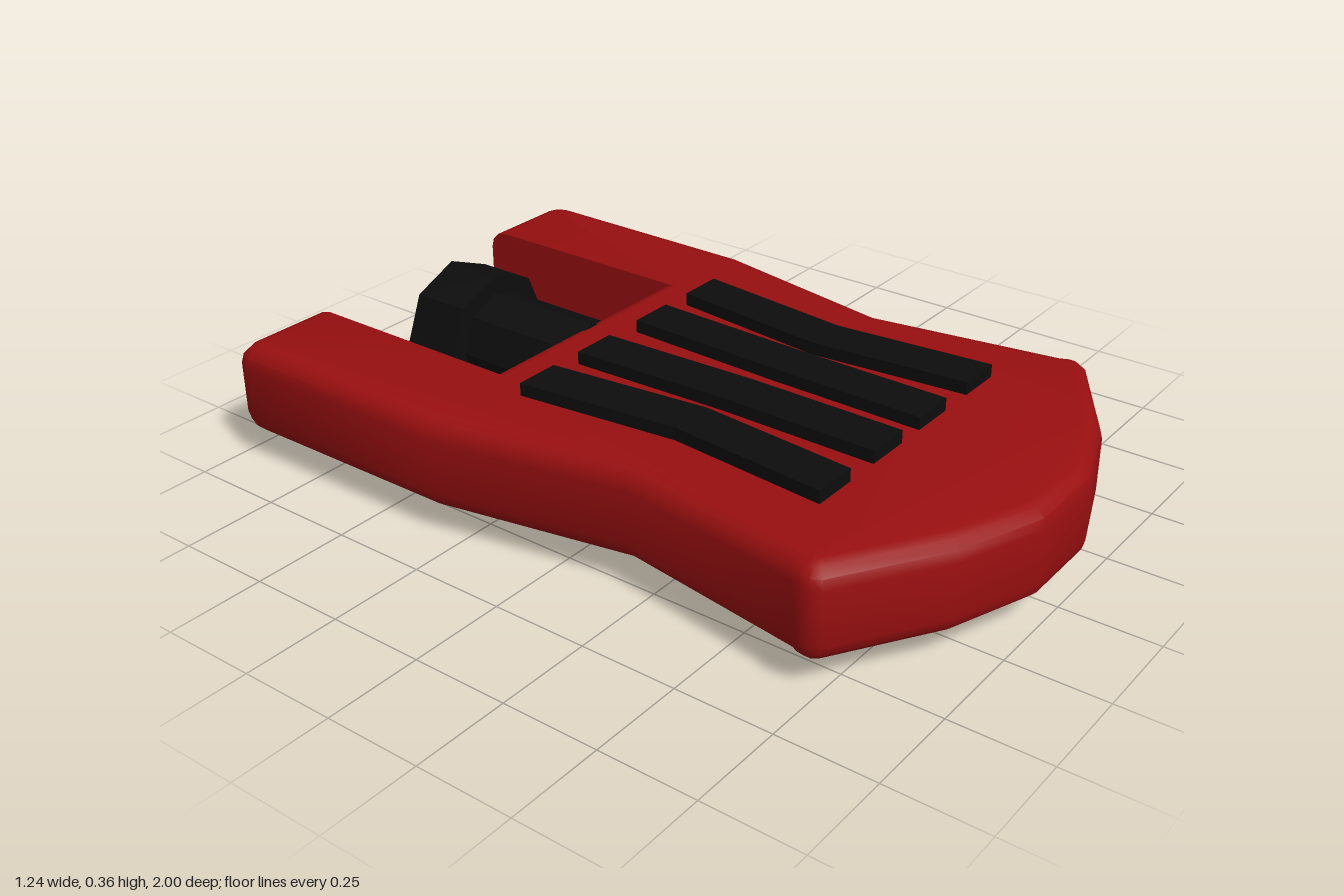
import * as THREE from 'three';
import { toCreasedNormals } from 'three/addons/utils/BufferGeometryUtils.js';

const red = new THREE.MeshStandardMaterial({ color: 0x990f10 });
const black = new THREE.MeshStandardMaterial({ color: 0x0d0d0d });

// Right half of the plan outline as [x, z], from the slot round to the nose
const half = [
  [0.335, -0.385], [0.335, -1], [0.565, -1], [0.604, -0.984], [0.62, -0.945],
  [0.617, -0.32], [0.52, 0.19], [0.595, 0.68], [0.605, 0.7], [0.605, 0.73],
  [0.59, 0.755], [0.33, 0.92], [0.11, 1],
];
const outline = [...half, ...half.map(([x, z]) => [-x, z]).reverse()];

// Moves every edge inward by d, except the sharp inner walls of the slot
function inset(d) {
  const n = outline.length;
  const edges = outline.map((p, i) => {
    const q = outline[(i + 1) % n];
    const dx = q[0] - p[0], dz = q[1] - p[1], len = Math.hypot(dx, dz);
    const sharp = i === 0 || i === n - 2;
    const nx = -dz / len, nz = dx / len;
    return { nx, nz, c: nx * p[0] + nz * p[1] + (sharp ? 0 : d) };
  });
  return edges.map((b, i) => {
    const a = edges[(i + n - 1) % n];
    const det = a.nx * b.nz - a.nz * b.nx;
    return new THREE.Vector2((a.c * b.nz - a.nz * b.c) / det, (a.nx * b.c - a.c * b.nx) / det);
  });
}

// Body shell: stacked outlines with rounded top and bottom edges
function bodyGeometry(y0, y1, r, steps) {
  const levels = [];
  for (let i = 0; i <= steps; i++) {
    const t = (i / steps) * Math.PI / 2;
    levels.push([r * (1 - Math.sin(t)), y0 + r * (1 - Math.cos(t))]);
  }
  levels.push(...levels.map(([d, y]) => [d, y0 + y1 - y]).reverse());

  const n = outline.length, pos = [], index = [];
  const rings = levels.map(([d]) => inset(d));
  rings.forEach((ring, k) => ring.forEach((p) => pos.push(p.x, levels[k][1], p.y)));
  for (let k = 0; k < rings.length - 1; k++) {
    for (let i = 0; i < n; i++) {
      const a = k * n + i, b = k * n + (i + 1) % n;
      index.push(a, a + n, b + n, a, b + n, b);
    }
  }
  const top = (rings.length - 1) * n;
  for (const [a, b, c] of THREE.ShapeUtils.triangulateShape(rings[0], [])) {
    index.push(a, b, c, top + a, top + c, top + b);
  }
  const geo = new THREE.BufferGeometry();
  geo.setAttribute('position', new THREE.Float32BufferAttribute(pos, 3));
  geo.setIndex(index);
  return toCreasedNormals(geo, 0.6);
}

// Bent grip strip; xs are the centres at its back, kink and front
function stripGeometry(xs) {
  const w = 0.06, zs = [-0.235, 0.19, 0.605];
  const left = xs.map((x, i) => new THREE.Vector2(x - w, -zs[i]));
  const right = xs.map((x, i) => new THREE.Vector2(x + w, -zs[i])).reverse();
  const geo = new THREE.ExtrudeGeometry(new THREE.Shape([...left, ...right]), { depth: 0.05, bevelEnabled: false });
  return geo.rotateX(-Math.PI / 2).translate(0, 0.29, 0);
}

export function createModel() {
  const group = new THREE.Group();
  const add = (name, geo, mat) => {
    const mesh = new THREE.Mesh(geo, mat);
    mesh.name = name;
    group.add(mesh);
    return mesh;
  };

  add('body', bodyGeometry(0.07, 0.307, 0.05, 3), red);

  const strips = [
    [-0.328, -0.282, -0.32], [-0.118, -0.102, -0.105],
    [0.11, 0.095, 0.09], [0.318, 0.27, 0.308],
  ];
  strips.forEach((xs, i) => add('gripStrip' + (i + 1), stripGeometry(xs), black));

  // Eight-sided peg with a wider, recessed head
  const profile = [
    [0, -0.76], [0.12, -0.76], [0.16, -0.84], [0.18, -0.84],
    [0.18, -0.68], [0.131, -0.68], [0.131, -0.35], [0, -0.35],
  ].map(([r, z]) => new THREE.Vector2(r, z));
  const pegMaterial = black.clone();
  pegMaterial.flatShading = true;
  const peg = add('peg', new THREE.LatheGeometry(profile, 8).rotateX(Math.PI / 2), pegMaterial);
  peg.position.set(0.01, 0.181, 0);

  return group;
}
